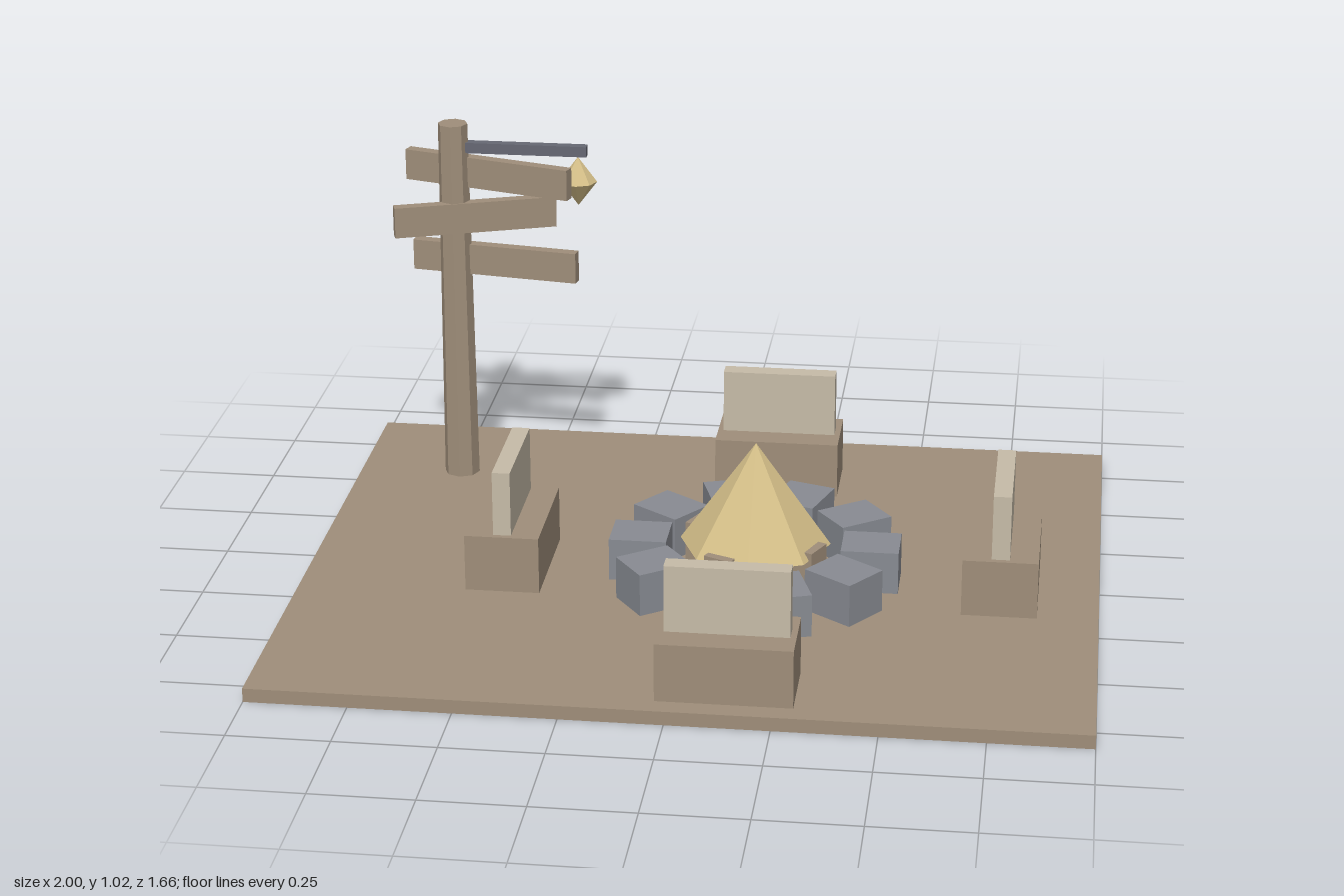
import * as THREE from 'three';

const material = (name, color) => {
  const m = new THREE.MeshStandardMaterial({ color, flatShading: true });
  m.name = name;
  return m;
};

export function createModel() {
  const model = new THREE.Group();
  model.name = 'campSite';
  const wood = material('brown wood', 0x9f8e7a);
  const pale = material('pale wood', 0xc6bba8);
  const glow = material('flame yellow', 0xd2bd87);
  const stone = material('grey stone', 0x888b92);
  const iron = material('dark iron', 0x666873);

  const add = (parent, name, geometry, mat, x, y, z, turn = 0) => {
    const mesh = new THREE.Mesh(geometry, mat);
    mesh.name = name;
    mesh.position.set(x, y, z);
    mesh.rotation.y = turn;
    parent.add(mesh);
    return mesh;
  };
  const group = (name, x, z) => {
    const g = new THREE.Group();
    g.name = name;
    g.position.set(x, 0, z);
    model.add(g);
    return g;
  };
  const box = (w, h, d) => new THREE.BoxGeometry(w, h, d);
  const floor = 0.035;

  // Ground slab
  add(model, 'ground', box(2, floor, 1.66), wood, 0, floor / 2, 0);

  // Campfire: stone ring, crossed logs and flame
  const fire = group('campfire', 0.135, 0.065);
  for (let i = 0; i < 10; i++) {
    const a = (i / 10) * Math.PI * 2;
    add(fire, 'ringStone', box(0.145, 0.11, 0.125), stone,
      Math.cos(a) * 0.292, floor + 0.055, Math.sin(a) * 0.292, -a);
  }
  for (const a of [-0.44, 1.13]) {
    add(fire, 'log', box(0.37, 0.12, 0.075), wood, 0, floor + 0.06, 0, a);
  }
  add(fire, 'flame', new THREE.ConeGeometry(0.19, 0.265, 8), glow, 0, 0.2675, 0);

  // Four benches around the fire, each with a narrow upright back
  for (let i = 0; i < 4; i++) {
    const a = (i * Math.PI) / 2;
    const bench = group('bench', 0.135 + Math.sin(a) * 0.62, 0.065 + Math.cos(a) * 0.62);
    bench.rotation.y = a;
    add(bench, 'seat', box(0.327, 0.147, 0.187), wood, 0, floor + 0.0735, 0);
    add(bench, 'backrest', box(0.298, 0.168, 0.045), pale, 0, 0.266, 0);
  }

  // Signpost with three turned planks
  const sign = group('signpost', -0.727, -0.52);
  add(sign, 'post', new THREE.CylinderGeometry(0.039, 0.047, 0.985, 8), wood, 0, floor + 0.4925, 0);
  const planks = [
    [0.47, 0.092, 0.888, 0.0075, -0.288],
    [0.43, 0.055, 0.769, 0.0075, 0.349],
    [0.45, 0.107, 0.648, 0.005, -0.148],
  ];
  for (const [length, x, y, z, turn] of planks) {
    add(sign, 'signPlank', box(length, 0.082, 0.03), wood, x, y, z, turn);
  }

  // Hanging lantern on its arm
  add(sign, 'lanternArm', box(0.352, 0.028, 0.026), iron, 0.178, 0.957, 0);
  const lantern = add(sign, 'lantern', new THREE.SphereGeometry(1, 8, 2), glow, 0.33, 0.874, 0);
  lantern.scale.set(0.05, 0.066, 0.05);

  return model;
}
